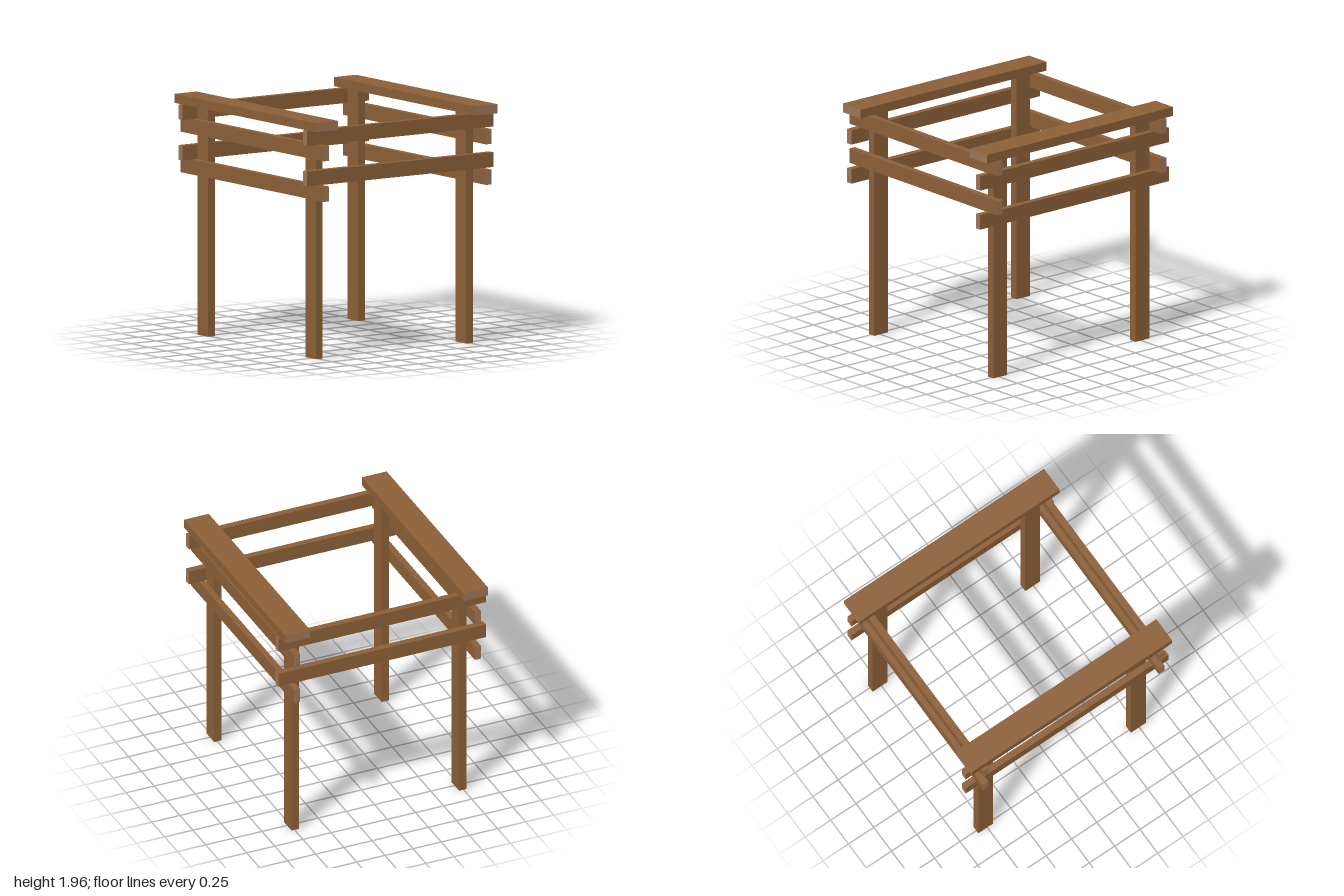
import * as THREE from 'three';

export function createModel() {
  const model = new THREE.Group();
  model.name = 'timberFrame';

  const wood = new THREE.MeshStandardMaterial({ color: 0x8b5f37 });
  wood.name = 'brown wood';
  const endGrain = new THREE.MeshStandardMaterial({ color: 0x9c7558 });
  endGrain.name = 'pale end grain';

  // A plank spanning two corners, with end grain on the two faces across its length
  function timber(name, axis, [x0, x1], [y0, y1], [z0, z1]) {
    const grain = { x: 0, y: 1, z: 2 }[axis];
    const materials = Array.from({ length: 6 }, (_, face) =>
      Math.floor(face / 2) === grain ? endGrain : wood);
    const mesh = new THREE.Mesh(new THREE.BoxGeometry(x1 - x0, y1 - y0, z1 - z0), materials);
    mesh.position.set((x0 + x1) / 2, (y0 + y1) / 2, (z0 + z1) / 2);
    mesh.name = name;
    model.add(mesh);
  }

  // Mirror a range across the centre for the right side
  const mirrored = (side, [a, b]) => (side > 0 ? [a, b] : [-b, -a]);

  for (const [sideName, side] of [['left', 1], ['right', -1]]) {
    // Posts: the front pair stands slightly further in than the back pair
    const postX = mirrored(side, [0.71, 0.777]);
    timber(`${sideName}FrontPost`, 'y', postX, [0, 1.886], [0.668, 0.815]);
    timber(`${sideName}BackPost`, 'y', postX, [0, 1.886], [-0.838, -0.692]);

    // Side rails on the outer faces of the posts
    const railX = mirrored(side, [0.777, 0.83]);
    timber(`${sideName}LowerSideRail`, 'z', railX, [1.312, 1.434], [-1, 1]);
    timber(`${sideName}UpperSideRail`, 'z', railX, [1.643, 1.765], [-1, 1]);

    // Wide top plank lying flat
    timber(`${sideName}TopPlank`, 'z', mirrored(side, [0.68, 0.9]), [1.886, 1.96], [-0.987, 0.987]);
  }

  // Cross beams resting on the side rails
  for (const [endName, z] of [['front', [0.841, 0.897]], ['back', [-0.897, -0.841]]]) {
    timber(`${endName}LowerCrossBeam`, 'x', [-0.922, 0.922], [1.434, 1.555], z);
    timber(`${endName}UpperCrossBeam`, 'x', [-0.922, 0.922], [1.765, 1.886], z);
  }

  return model;
}
